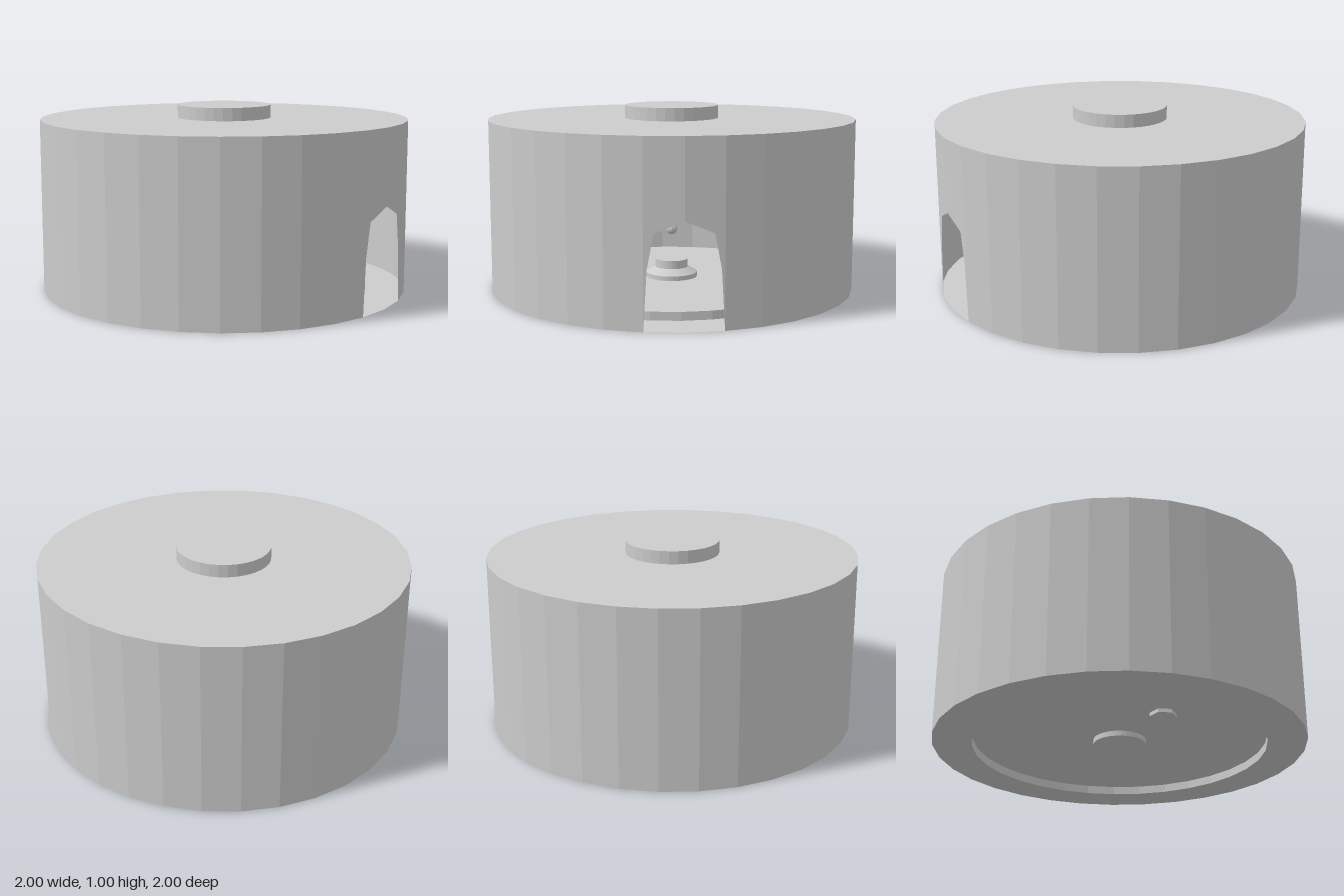
import * as THREE from 'three';

const SIDES = 32, HEIGHT = 0.935;

export function createModel() {
  const group = new THREE.Group();
  const grey = new THREE.MeshStandardMaterial({ color: 0xcccccc, flatShading: true, side: THREE.DoubleSide });
  grey.name = 'plain grey';

  const add = (name, geometry, x = 0, y = 0, z = 0) => {
    const mesh = new THREE.Mesh(geometry, grey);
    mesh.name = name;
    mesh.position.set(x, y, z);
    group.add(mesh);
    return mesh;
  };
  const lathe = (points, sides = SIDES) =>
    new THREE.LatheGeometry(points.map(([r, y]) => new THREE.Vector2(r, y)), sides);

  // Thin round wall, leaving two facets free on +x for the doorway
  const step = (2 * Math.PI) / SIDES;
  add('wall', new THREE.CylinderGeometry(1, 1, HEIGHT, SIDES - 2, 1, true,
    Math.PI / 2 + step, 2 * Math.PI - 2 * step), 0, HEIGHT / 2, 0);

  // The two facets with half of the arched doorway cut out of each
  const edgeZ = Math.sin(step), edgeX = Math.cos(step);
  for (const side of [1, -1]) {
    const outline = [[edgeZ, 0], [edgeZ, HEIGHT], [0, HEIGHT], [0, 0.535], [0.145, 0.475], [0.178, 0.3]];
    if (side > 0) outline.reverse();
    const geometry = new THREE.ShapeGeometry(
      new THREE.Shape(outline.map(([z, y]) => new THREE.Vector2(-side * z, y))));
    const p = geometry.attributes.position;
    for (let i = 0; i < p.count; i++) {
      const z = -p.getX(i);
      p.setXYZ(i, 1 - (Math.abs(z) / edgeZ) * (1 - edgeX), p.getY(i), z);
    }
    geometry.computeVertexNormals();
    add(side > 0 ? 'doorPanelFront' : 'doorPanelBack', geometry);
  }

  // Roof and the round cap on it
  add('roof', lathe([[1, HEIGHT], [0, HEIGHT]]));
  add('cap', lathe([[0.255, HEIGHT], [0.255, 1.005], [0, 1.005]]));

  // Bottom rim with the raised floor inside it
  add('floor', lathe([[1, 0], [0.79, 0], [0.79, 0.045], [0, 0.045]]));

  // Stepped hub through the middle of the floor, with a small ball above
  add('hub', lathe([[0, 0.017], [0.142, 0.017], [0.142, 0.07], [0.09, 0.1], [0.09, 0.145], [0, 0.145]]));
  add('ball', new THREE.SphereGeometry(0.033, 10, 8), 0, 0.313, 0);

  // Leaning post whose foot pokes through the floor, with an arm towards the middle
  add('post', new THREE.CylinderGeometry(0.03, 0.07, 0.46, 6), -0.05, 0.255, 0.44);
  const arm = add('arm', new THREE.CylinderGeometry(0.015, 0.015, 0.33, 8), -0.05, 0.44, 0.28);
  arm.rotation.x = Math.PI / 2 - 0.3;

  return group;
}
